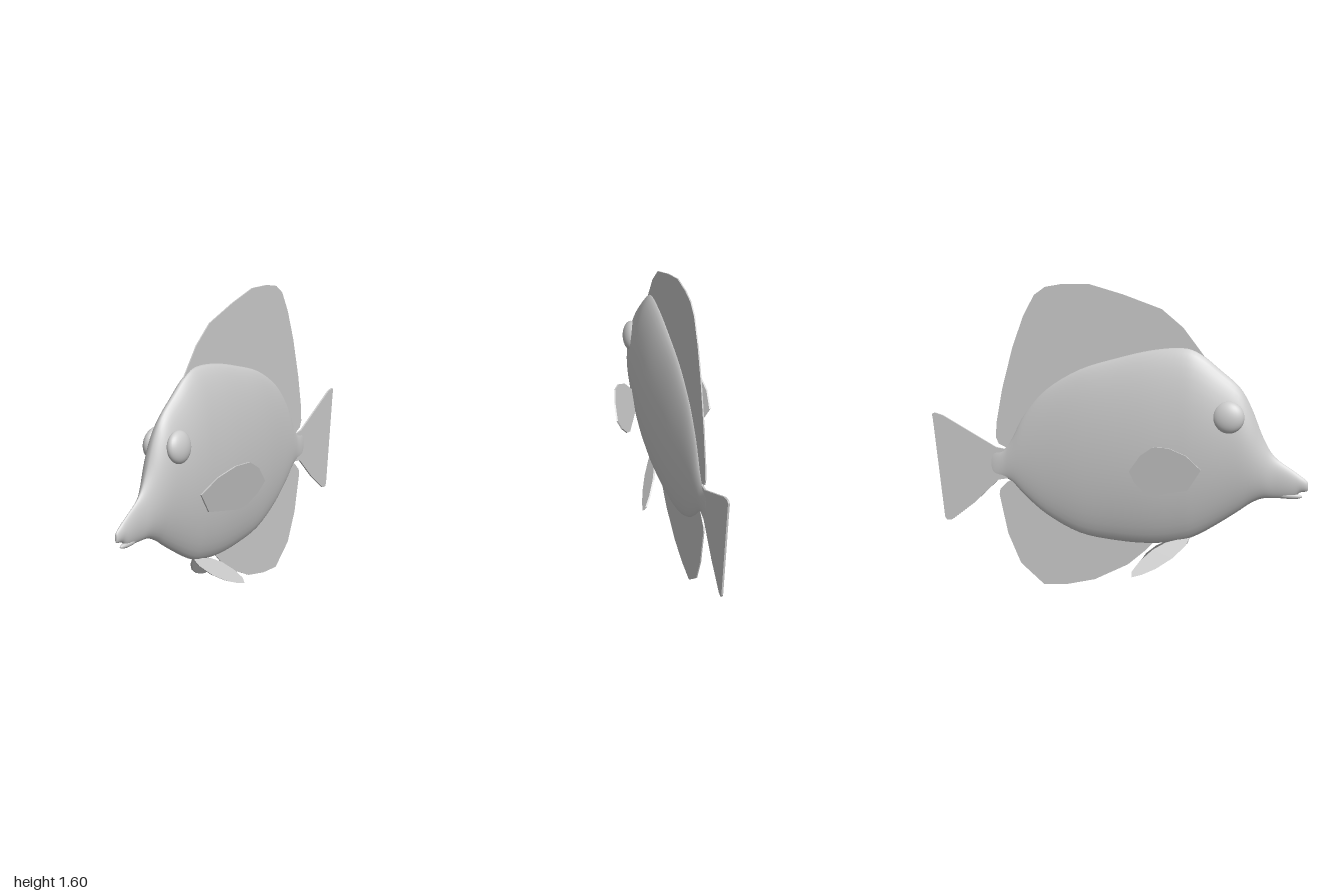
import * as THREE from 'three';

const material = new THREE.MeshStandardMaterial({ color: 0xcccccc, side: THREE.DoubleSide });

function addMesh(group, name, geometry) {
  const mesh = new THREE.Mesh(geometry, material);
  mesh.name = name;
  group.add(mesh);
  return mesh;
}

// Body stations from snout to tail root: [z, top y, bottom y, half width]
const STATIONS = [
  [1.0, 0.615, 0.605, 0], [0.995, 0.64, 0.59, 0.009], [0.96, 0.668, 0.582, 0.017],
  [0.92, 0.695, 0.552, 0.021], [0.83, 0.758, 0.546, 0.028], [0.77, 0.855, 0.54, 0.047],
  [0.71, 1.0, 0.51, 0.07], [0.65, 1.1, 0.465, 0.084], [0.55, 1.185, 0.395, 0.096],
  [0.45, 1.262, 0.332, 0.104], [0.36, 1.29, 0.295, 0.107], [0.2, 1.275, 0.268, 0.106],
  [0.02, 1.23, 0.27, 0.095], [-0.18, 1.165, 0.298, 0.075], [-0.36, 1.055, 0.385, 0.05],
  [-0.48, 0.92, 0.48, 0.032], [-0.55, 0.79, 0.55, 0.02], [-0.6, 0.725, 0.575, 0.011],
  [-0.66, 0.72, 0.58, 0.006], [-0.68, 0.65, 0.64, 0],
];

// Lens-shaped rings lofted smoothly through the stations
function bodyGeometry(rings = 76, sides = 40) {
  const smooth = (pick) =>
    new THREE.CatmullRomCurve3(STATIONS.map(pick), false, 'catmullrom', 0.5);
  const heights = smooth(([, top, bottom]) => new THREE.Vector3(top, bottom, 0));
  const lengths = smooth(([z, , , w]) => new THREE.Vector3(z, w, 0));
  const positions = [], indices = [];
  for (let i = 0; i <= rings; i++) {
    const { x: top, y: bottom } = heights.getPoint(i / rings);
    const { x: z, y: w } = lengths.getPoint(i / rings);
    for (let j = 0; j < sides; j++) {
      const a = (j / sides) * Math.PI * 2, s = Math.sin(a);
      positions.push(
        Math.max(w, 0) * Math.sign(s) * Math.abs(s) ** 1.25,
        (top + bottom) / 2 + Math.cos(a) * (top - bottom) / 2,
        z);
      if (i === rings) continue;
      const k = (j + 1) % sides;
      const p = i * sides + j, q = i * sides + k;
      indices.push(p, q, p + sides, q, q + sides, p + sides);
    }
  }
  const geometry = new THREE.BufferGeometry();
  geometry.setAttribute('position', new THREE.Float32BufferAttribute(positions, 3));
  geometry.setIndex(indices);
  geometry.computeVertexNormals();
  return geometry;
}

// Thin fin from a [z, y] outline; bend(z, y) moves it sideways
function finGeometry(outline, thickness, bend = () => 0) {
  const shape = new THREE.Shape(outline.map(([z, y]) => new THREE.Vector2(-z, y)));
  const geometry = new THREE.ExtrudeGeometry(shape, { depth: thickness, bevelEnabled: false });
  geometry.translate(0, 0, -thickness / 2).rotateY(Math.PI / 2);
  const p = geometry.attributes.position;
  for (let i = 0; i < p.count; i++) p.setX(i, p.getX(i) + bend(p.getZ(i), p.getY(i)));
  geometry.computeVertexNormals();
  return geometry;
}

const DORSAL = [
  [0.48, 1.235], [0.43, 1.3], [0.36, 1.39], [0.25, 1.48], [0.05, 1.55], [-0.13, 1.6],
  [-0.27, 1.598], [-0.36, 1.582], [-0.42, 1.54], [-0.48, 1.43], [-0.54, 1.27],
  [-0.6, 1.05], [-0.635, 0.87], [-0.64, 0.79], [-0.625, 0.755], [-0.58, 0.735],
  [-0.5, 0.75], [-0.3, 1.0], [0, 1.15], [0.3, 1.2],
];
const ANAL = [
  [0.24, 0.3], [0.17, 0.225], [0.08, 0.145], [-0.1, 0.05], [-0.25, 0.012], [-0.38, 0],
  [-0.51, 0.11], [-0.58, 0.27], [-0.625, 0.48], [-0.62, 0.51], [-0.58, 0.55],
  [-0.5, 0.6], [-0.2, 0.4], [0.1, 0.34],
];
const TAIL = [
  [-0.57, 0.725], [-0.64, 0.735], [-0.8, 0.82], [-0.94, 0.895], [-0.985, 0.907],
  [-1, 0.9], [-0.995, 0.87], [-0.94, 0.34], [-0.93, 0.322], [-0.9, 0.325],
  [-0.77, 0.425], [-0.63, 0.56], [-0.57, 0.572],
];
const PECTORAL = [
  [0.477, 0.69], [0.41, 0.77], [0.33, 0.815], [0.26, 0.823], [0.2, 0.78], [0.145, 0.7],
  [0.166, 0.636], [0.21, 0.58], [0.247, 0.562], [0.41, 0.583],
];
const PELVIC = [
  [0.41, 0.32], [0.39, 0.275], [0.33, 0.215], [0.25, 0.162], [0.18, 0.13],
  [0.13, 0.116], [0.125, 0.14], [0.16, 0.19], [0.22, 0.245], [0.28, 0.28],
];

export function createModel() {
  const fish = new THREE.Group();
  fish.name = 'fish';

  addMesh(fish, 'body', bodyGeometry());

  const jaw = addMesh(fish, 'lowerJaw', new THREE.SphereGeometry(1, 20, 14));
  jaw.scale.set(0.015, 0.015, 0.06);
  jaw.position.set(0, 0.561, 0.912);

  // Fins on the centre line
  addMesh(fish, 'dorsalFin', finGeometry(DORSAL, 0.006));
  addMesh(fish, 'analFin', finGeometry(ANAL, 0.006));
  addMesh(fish, 'tailFin', finGeometry(TAIL, 0.009));

  // Paired fins and eyes
  for (const [side, label] of [[1, 'left'], [-1, 'right']]) {
    const pectoral = (z, y) => side * (0.1 + 0.45 * (0.41 - z) + 0.3 * (y - 0.585));
    const pelvic = (z, y) => side * (0.008 + 0.62 * (0.3 - y));
    addMesh(fish, label + 'PectoralFin', finGeometry(PECTORAL, 0.008, pectoral));
    addMesh(fish, label + 'PelvicFin', finGeometry(PELVIC, 0.01, pelvic));

    const eye = addMesh(fish, label + 'Eye', new THREE.SphereGeometry(1, 28, 20));
    eye.scale.set(0.042, 0.08, 0.08);
    eye.position.set(side * 0.069, 0.957, 0.605);
    eye.rotation.z = side * 0.12;
  }
  return fish;
}
